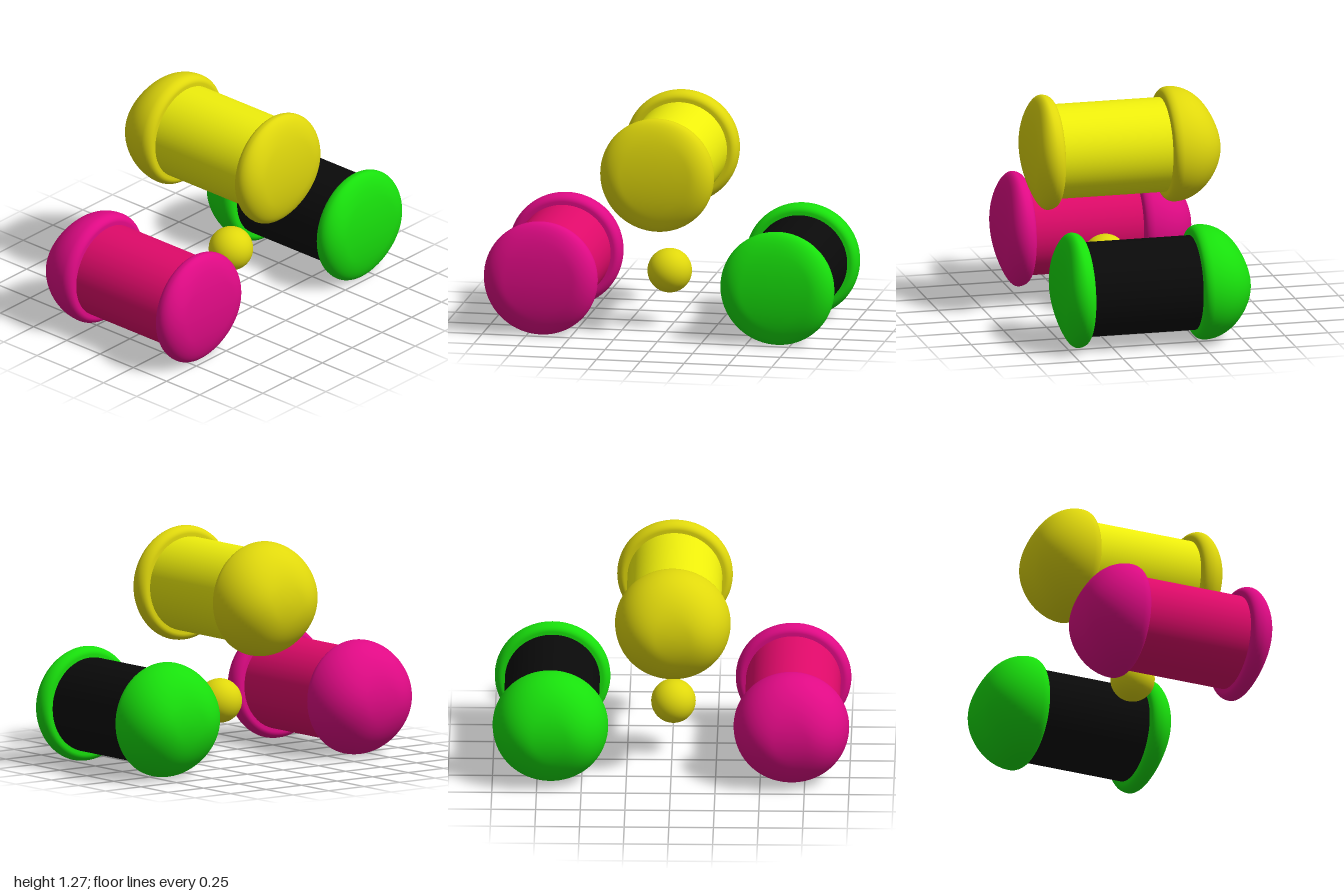
import * as THREE from 'three';
import { mergeVertices } from 'three/addons/utils/BufferGeometryUtils.js';

const R = 0.324; // cap radius
const TUBE_R = 0.266;

// Round cap along +y: rolled rim below, dome above that is flatter across x
function capGeometry(height, flat) {
  const rim = 0.053;
  const pts = [new THREE.Vector2(0, -rim), new THREE.Vector2(TUBE_R, -rim)];
  for (let i = 0; i < 8; i++) {
    const a = (i / 8) * Math.PI / 2;
    pts.push(new THREE.Vector2(R - 0.04 + 0.04 * Math.sin(a), -rim * Math.cos(a)));
  }
  for (let i = 0; i <= 32; i++) {
    const a = (i / 32) * Math.PI / 2;
    pts.push(new THREE.Vector2(i === 32 ? 0 : R * Math.cos(a), height * Math.sin(a)));
  }
  let geo = new THREE.LatheGeometry(pts, 72);
  const p = geo.attributes.position;
  const arc = (t) => Math.sqrt(Math.max(0, 1 - t * t));
  for (let i = 0; i < p.count; i++) {
    if (p.getY(i) <= 1e-6) continue;
    const x = p.getX(i), z = p.getZ(i), r = Math.hypot(x, z);
    const round = arc(r / R);
    const broad = arc(Math.max(0, r - flat) / (R - flat));
    const w = r > 1e-6 ? (x / r) ** 2 : 0;
    p.setY(i, height * (round + (broad - round) * w));
  }
  geo.deleteAttribute('normal');
  geo.deleteAttribute('uv');
  geo = mergeVertices(geo, 1e-5);
  geo.computeVertexNormals();
  return geo;
}

export function createModel() {
  const model = new THREE.Group();
  model.name = 'capsuleSet';

  const frontCap = capGeometry(0.093, 0.2).rotateX(Math.PI / 2).translate(0, 0, 0.447);
  const backCap = capGeometry(0.255, 0.1).rotateX(-Math.PI / 2).translate(0, 0, -0.285);
  const tube = new THREE.CylinderGeometry(TUBE_R, TUBE_R, 0.68, 72)
    .rotateX(Math.PI / 2).translate(0, 0, 0.08);

  const add = (parent, name, geo, color) => {
    const mesh = new THREE.Mesh(geo, new THREE.MeshStandardMaterial({ color }));
    mesh.name = name;
    parent.add(mesh);
    return mesh;
  };

  // Three capped tubes: two side by side, one above
  const tubes = [
    ['rightTube', -0.675, 0.328, 0xe00a85, 0xe00a6a],
    ['upperTube', -0.011, 0.948, 0xe0d80c, 0xf0f00c],
    ['leftTube', 0.675, 0.328, 0x18e00c, 0x0a0a0a],
  ];
  for (const [name, x, y, capColor, tubeColor] of tubes) {
    const group = new THREE.Group();
    group.name = name;
    group.position.set(x, y, 0);
    add(group, 'tubeBody', tube, tubeColor);
    add(group, 'frontCap', frontCap, capColor);
    add(group, 'backDome', backCap, capColor);
    model.add(group);
  }

  // Small ball between the lower tubes
  add(model, 'ball', new THREE.SphereGeometry(0.125, 40, 24), 0xe0d80c)
    .position.set(-0.008, 0.323, 0.095);

  return model;
}
